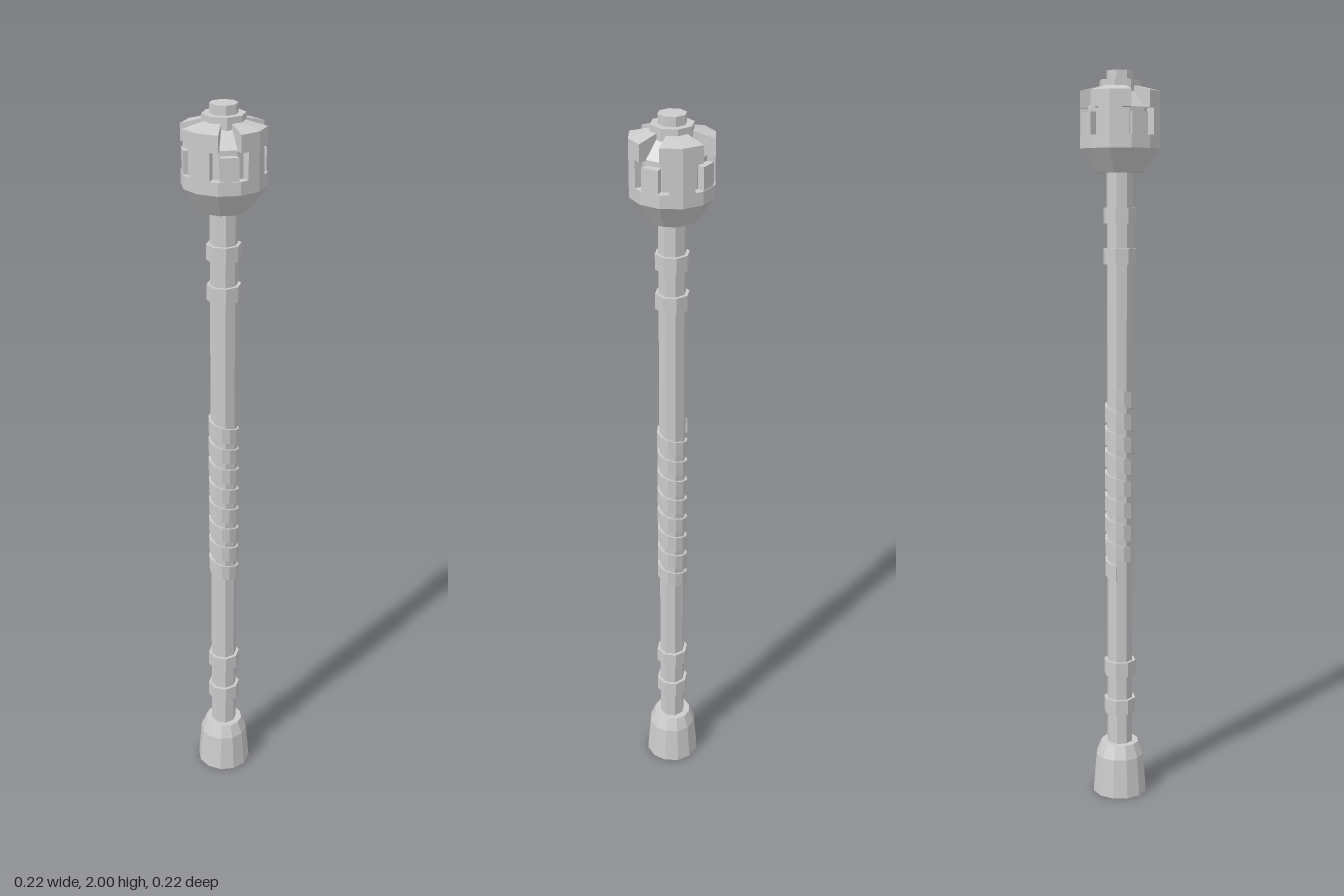
import * as THREE from 'three';

const material = new THREE.MeshStandardMaterial({ color: 0xcccccc, flatShading: true });
const rad = THREE.MathUtils.degToRad;

function add(parent, name, geometry) {
  const mesh = new THREE.Mesh(geometry, material);
  mesh.name = name;
  parent.add(mesh);
  return mesh;
}

// Solid of revolution from [radius, y] points listed bottom to top
function turned(points, sides) {
  return new THREE.LatheGeometry(points.map(([r, y]) => new THREE.Vector2(r, y)), sides);
}

// Closed [radius, y] profile swept through angles in degrees, sinking by drop per turn
function swept(profile, angles, drop = 0) {
  const positions = [], index = [], n = profile.length;
  angles.forEach((deg) => {
    const t = rad(deg);
    // keep every corner on the flat faces of a twelve-sided drum
    const within = ((deg % 30) + 30) % 30;
    const k = Math.cos(rad(15)) / Math.cos(rad(within - 15));
    const fall = drop * (deg - angles[0]) / 360;
    profile.forEach(([r, y]) => positions.push(r * k * Math.sin(t), y - fall, r * k * Math.cos(t)));
  });
  for (let j = 0; j < angles.length - 1; j++) {
    for (let i = 0; i < n; i++) {
      const a = j * n + i, b = j * n + (i + 1) % n;
      index.push(a, a + n, b + n, a, b + n, b);
    }
  }
  // end caps
  const last = (angles.length - 1) * n;
  for (let i = 1; i < n - 1; i++) {
    index.push(0, i, i + 1, last, last + i + 1, last + i);
  }
  const geometry = new THREE.BufferGeometry();
  geometry.setAttribute('position', new THREE.Float32BufferAttribute(positions, 3));
  geometry.setIndex(index);
  geometry.computeVertexNormals();
  return geometry;
}

export function createModel() {
  const model = new THREE.Group();
  model.name = 'staff';

  // Shaft
  add(model, 'shaft', turned([[0, 0.12], [0.036, 0.12], [0.036, 1.76], [0, 1.76]], 8));

  // Collars in pairs near both ends
  [[0.235, 0.278], [0.347, 0.389], [1.498, 1.54], [1.606, 1.648]].forEach(([low, high]) => {
    add(model, 'collar', turned([[0.03, low], [0.045, low], [0.045, high], [0.03, high]], 8));
  });

  // Hollow foot
  add(model, 'foot', turned([
    [0, 0.05], [0.05, 0.05], [0.056, 0], [0.077, 0], [0.068, 0.11], [0.053, 0.147], [0, 0.147],
  ], 12));

  // Spiral grip wrap
  const turns = [];
  for (let deg = -180; deg <= 8 * 360 - 180; deg += 30) turns.push(deg);
  add(model, 'gripWrap', swept([[0.03, 1.122], [0.042, 1.122], [0.042, 1.165], [0.03, 1.165]], turns, 0.062));

  // Head: flared base and inner core
  const head = new THREE.Group();
  head.name = 'head';
  model.add(head);
  add(head, 'headBase', turned([
    [0, 1.738], [0.064, 1.738], [0.108, 1.8], [0.108, 1.834], [0.08, 1.834],
  ], 12));
  add(head, 'headCore', turned([[0.086, 1.82], [0.086, 1.905], [0.045, 1.955], [0, 1.955]], 12));

  // Four crown blocks on pillars, with plates in the windows between them
  const crown = [[0.04, 1.903], [0.108, 1.903], [0.108, 1.947], [0.055, 1.96], [0.04, 1.96]];
  const pillar = [[0.07, 1.83], [0.108, 1.83], [0.108, 1.905], [0.07, 1.905]];
  const plate = [[0.07, 1.83], [0.106, 1.83], [0.106, 1.892], [0.07, 1.892]];
  for (let i = 0; i < 4; i++) {
    const a = i * 90;
    add(head, 'crownBlock', swept(crown, [a - 30, a, a + 30]));
    add(head, 'pillar', swept(pillar, [a - 18, a, a + 18]));
    add(head, 'windowPlate', swept(plate, [a + 32, a + 58]));
  }

  // Stepped cap
  add(head, 'capRing', turned([[0.055, 1.945], [0.055, 1.976], [0, 1.976]], 8));
  add(head, 'capKnob', turned([[0.036, 1.97], [0.036, 2], [0, 2]], 8));

  return model;
}
